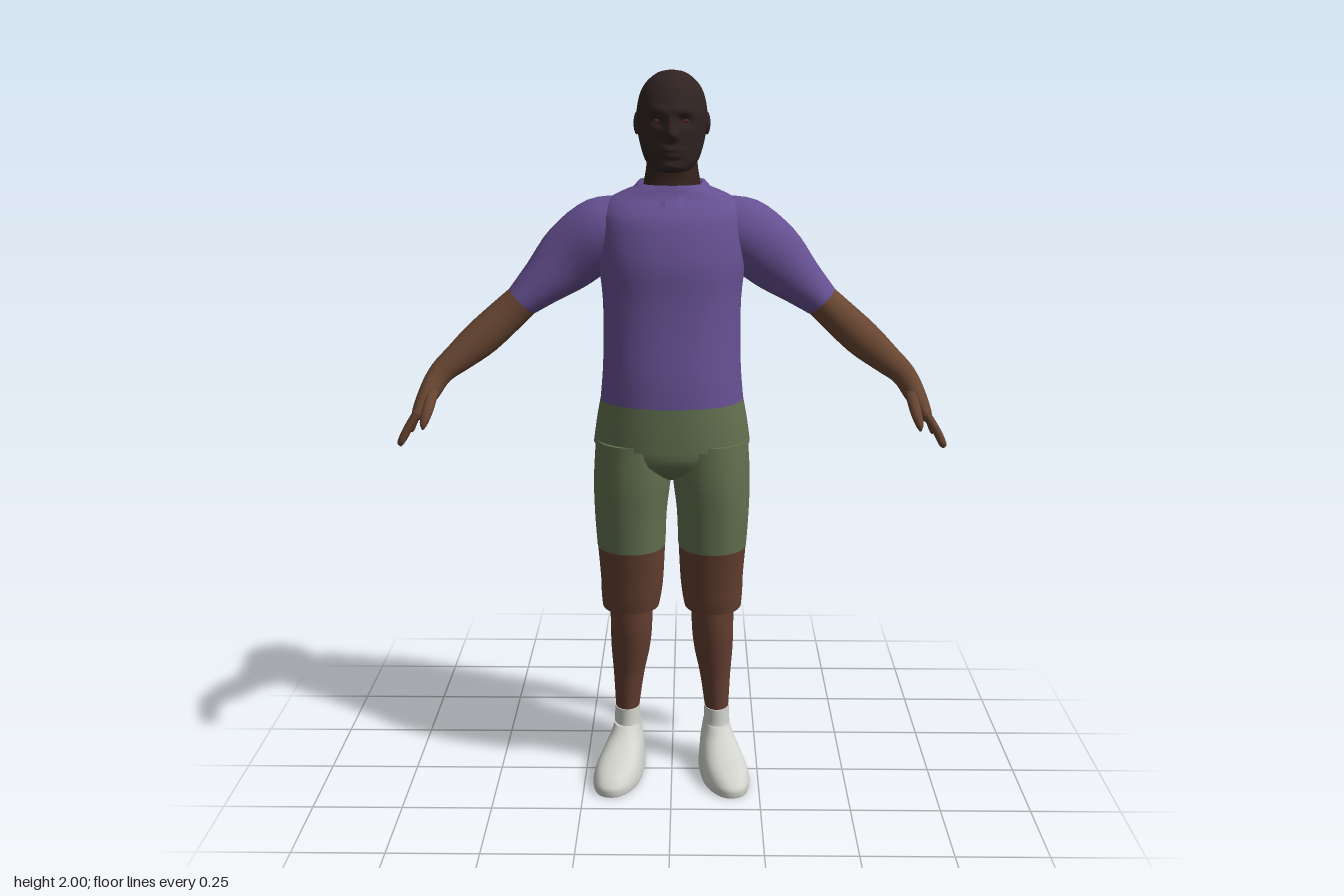
import * as THREE from 'three';

const mat = (name, color, side = THREE.FrontSide) => {
  const m = new THREE.MeshStandardMaterial({ color, side });
  m.name = name;
  return m;
};

// Smooth value between p1 and p2
const spline = (p0, p1, p2, p3, t) => 0.5 * (2 * p1 + (p2 - p0) * t
  + (2 * p0 - 5 * p1 + 4 * p2 - p3) * t * t + (3 * p1 - p0 - 3 * p2 + p3) * t * t * t);

// Closed skin through rings [x, y, z, halfWidth, halfDepth, tilt in degrees];
// tilt 0 runs downwards, tilt 90 runs towards +x
function loft(keys, { seg = 28, sub = 4, power = 2, deform } = {}) {
  const rings = [];
  const last = keys.length - 1;
  const at = (i, k) => keys[Math.min(last, Math.max(0, i))][k] ?? 0;
  for (let i = 0; i < last; i++) {
    for (let s = 0; s < sub; s++) {
      rings.push([0, 1, 2, 3, 4, 5].map(k => spline(at(i - 1, k), at(i, k), at(i + 1, k), at(i + 2, k), s / sub)));
    }
  }
  rings.push([0, 1, 2, 3, 4, 5].map(k => at(last, k)));

  const pos = [], index = [];
  const addRing = ([x, y, z, ra, rb, tilt]) => {
    const t = THREE.MathUtils.degToRad(tilt);
    for (let j = 0; j < seg; j++) {
      const a = (j / seg) * Math.PI * 2, c = Math.cos(a), s = Math.sin(a);
      const u = Math.sign(c) * Math.abs(c) ** (2 / power) * ra;
      const w = Math.sign(s) * Math.abs(s) ** (2 / power) * rb;
      const v = new THREE.Vector3(x + u * Math.cos(t), y + u * Math.sin(t), z + w);
      if (deform) deform(v);
      pos.push(v.x, v.y, v.z);
    }
  };
  rings.forEach(addRing);
  for (let i = 0; i < rings.length - 1; i++) {
    for (let j = 0; j < seg; j++) {
      const a = i * seg + j, b = i * seg + (j + 1) % seg;
      index.push(a, b, a + seg, b, b + seg, a + seg);
    }
  }
  // Flat end caps with their own vertices
  [[rings[0], false], [rings[rings.length - 1], true]].forEach(([ring, end]) => {
    const base = pos.length / 3;
    addRing(ring);
    pos.push(ring[0], ring[1], ring[2]);
    for (let j = 0; j < seg; j++) {
      const a = base + j, b = base + (j + 1) % seg;
      index.push(base + seg, end ? a : b, end ? b : a);
    }
  });
  const geo = new THREE.BufferGeometry();
  geo.setAttribute('position', new THREE.Float32BufferAttribute(pos, 3));
  geo.setIndex(index);
  geo.computeVertexNormals();
  return geo;
}

// Copy reflected across x = 0 with corners reordered
function mirrored(geo) {
  const g = geo.clone();
  g.scale(-1, 1, 1);
  const idx = g.index.array;
  for (let i = 0; i < idx.length; i += 3) [idx[i], idx[i + 1]] = [idx[i + 1], idx[i]];
  g.computeVertexNormals();
  return g;
}

const bump = (dx, dy, sx, sy) => Math.exp(-((dx / sx) ** 2) - ((dy / sy) ** 2));

// Eye sockets, brow, nose, lips and chin on the front of the head
function sculptFace(v) {
  if (v.z < 0.03) return;
  const ax = Math.abs(v.x);
  v.z += -0.012 * bump(ax - 0.036, v.y - 1.872, 0.018, 0.014)
    + 0.006 * bump(ax - 0.03, v.y - 1.9, 0.03, 0.012)
    + 0.027 * bump(v.x, v.y - 1.838, 0.015, 0.014)
    + 0.013 * bump(v.x, v.y - 1.862, 0.011, 0.02)
    + 0.011 * bump(v.x, v.y - 1.8, 0.027, 0.008)
    + 0.01 * bump(v.x, v.y - 1.784, 0.024, 0.007)
    + 0.008 * bump(v.x, v.y - 1.756, 0.025, 0.012);
}

// Shirt collar: a folded band round the neck, open and pointed at the front
function collarGeometry() {
  const n = 40, pos = [], index = [];
  for (let i = 0; i <= n; i++) {
    const a = THREE.MathUtils.lerp(0.16, Math.PI * 2 - 0.16, i / n);
    const s = Math.sin(a), c = Math.cos(a);
    const front = Math.max(0, c) ** 2;
    const tip = bump(Math.min(a, Math.PI * 2 - a) - 0.55, 0, 0.35, 1);
    pos.push(0.08 * s, 1.7 - 0.035 * front, -0.045 + 0.065 * c);
    pos.push(0.088 * s, 1.712 - 0.036 * front, -0.045 + 0.074 * c);
    pos.push(0.112 * s, 1.685 - 0.03 * front - 0.022 * tip, -0.045 + (0.086 + 0.02 * front) * c);
  }
  for (let i = 0; i < n; i++) {
    for (let k = 0; k < 2; k++) {
      const a = i * 3 + k;
      index.push(a, a + 1, a + 3, a + 1, a + 4, a + 3);
    }
  }
  const g = new THREE.BufferGeometry();
  g.setAttribute('position', new THREE.Float32BufferAttribute(pos, 3));
  g.setIndex(index);
  g.computeVertexNormals();
  return g;
}

export function createModel() {
  const model = new THREE.Group();
  model.name = 'standingMan';
  const headSkin = mat('head skin', 0x302322);
  const neckSkin = mat('neck skin', 0x35231d);
  const armSkin = mat('arm skin', 0x684632);
  const legBrown = mat('leg brown', 0x643f31);
  const shirt = mat('purple shirt', 0x665092, THREE.DoubleSide);
  const green = mat('green shorts', 0x62704f);
  const white = mat('white shoes', 0xd2d3cc);
  const eyeBrown = mat('eye brown', 0x5a2c1c);

  const add = (name, geo, material) => {
    const m = new THREE.Mesh(geo, material);
    m.name = name;
    model.add(m);
  };
  const pair = (name, geo, material) => {
    add('left' + name, geo, material);
    add('right' + name, mirrored(geo), material);
  };

  // Head and neck
  add('head', loft([
    [0, 2.0, -0.01, 0.004, 0.004], [0, 1.993, -0.01, 0.036, 0.046], [0, 1.97, -0.012, 0.066, 0.083],
    [0, 1.94, -0.014, 0.084, 0.107], [0, 1.9, -0.013, 0.093, 0.121], [0, 1.87, -0.012, 0.094, 0.121],
    [0, 1.83, -0.007, 0.089, 0.112], [0, 1.79, 0.002, 0.079, 0.1], [0, 1.765, 0.017, 0.068, 0.082],
    [0, 1.745, 0.036, 0.048, 0.056], [0, 1.737, 0.04, 0.02, 0.025],
  ], { seg: 64, sub: 6, power: 2.1, deform: sculptFace }), headSkin);
  add('neck', loft([
    [0, 1.82, -0.04, 0.066, 0.06], [0, 1.75, -0.043, 0.069, 0.059], [0, 1.7, -0.045, 0.077, 0.062],
    [0, 1.65, -0.035, 0.08, 0.075],
  ]), neckSkin);
  const ear = new THREE.SphereGeometry(1, 14, 10);
  ear.scale(0.009, 0.03, 0.018);
  ear.rotateX(-0.15);
  ear.translate(0.093, 1.862, -0.018);
  pair('Ear', ear, headSkin);
  const eye = new THREE.SphereGeometry(1, 12, 8);
  eye.scale(0.011, 0.005, 0.006);
  eye.translate(0.036, 1.873, 0.088);
  pair('Eye', eye, eyeBrown);

  // Shirt
  add('shirtBody', loft([
    [0, 1.7, -0.045, 0.082, 0.064], [0, 1.688, -0.05, 0.118, 0.074], [0, 1.665, -0.054, 0.165, 0.09],
    [0, 1.64, -0.048, 0.188, 0.11], [0, 1.6, -0.04, 0.198, 0.13], [0, 1.5, -0.028, 0.199, 0.147],
    [0, 1.4, -0.016, 0.189, 0.14], [0, 1.3, -0.008, 0.187, 0.143], [0, 1.2, -0.007, 0.19, 0.157],
    [0, 1.12, -0.011, 0.197, 0.167],
  ], { seg: 48, power: 2.25 }), shirt);
  add('collar', collarGeometry(), shirt);
  pair('Sleeve', loft([
    [0.11, 1.585, -0.06, 0.085, 0.085, 80], [0.2, 1.56, -0.06, 0.1, 0.095, 72],
    [0.285, 1.498, -0.057, 0.092, 0.077, 60], [0.355, 1.433, -0.048, 0.066, 0.067, 52],
    [0.41, 1.383, -0.042, 0.049, 0.062, 45],
  ], { seg: 32 }), shirt);

  // Arms and hands
  pair('Arm', loft([
    [0.37, 1.42, -0.045, 0.045, 0.055, 45], [0.43, 1.365, -0.04, 0.049, 0.054, 45],
    [0.52, 1.285, -0.016, 0.051, 0.052, 46], [0.585, 1.232, 0.012, 0.041, 0.042, 46],
    [0.63, 1.195, 0.035, 0.033, 0.035, 42], [0.658, 1.15, 0.06, 0.029, 0.044, 32],
    [0.685, 1.098, 0.086, 0.019, 0.047, 27], [0.69, 1.085, 0.089, 0.012, 0.04, 27],
  ]), armSkin);
  [[0.05, 0.715, 1.03, 0.046], [0.074, 0.732, 1.01, 0.072], [0.099, 0.737, 1.004, 0.1], [0.123, 0.728, 1.015, 0.13]]
    .forEach(([z, tx, ty, tz], i) => {
      const mx = (0.686 + tx) / 2 + 0.006, my = (1.1 + ty) / 2;
      pair('Finger' + (i + 1), loft([
        [0.683, 1.105, z, 0.012, 0.012, 27], [mx, my, (z + tz) / 2, 0.011, 0.011, 25],
        [tx, ty + 0.01, tz, 0.009, 0.009, 15], [tx, ty, tz, 0.002, 0.002, 15],
      ], { seg: 10, sub: 3 }), armSkin);
    });
  pair('Thumb', loft([
    [0.645, 1.16, 0.08, 0.016, 0.018, 15], [0.654, 1.115, 0.122, 0.015, 0.017, 12],
    [0.664, 1.08, 0.143, 0.011, 0.012, 10], [0.667, 1.062, 0.148, 0.002, 0.002, 10],
  ], { seg: 12, sub: 3 }), armSkin);

  // Green hem band and shorts
  add('hemBand', loft([
    [0, 1.12, -0.011, 0.197, 0.167], [0, 1.06, -0.013, 0.208, 0.17], [0, 0.997, -0.015, 0.217, 0.171],
  ], { seg: 48, power: 2.25 }), green);
  add('shortsSeat', loft([
    [0, 1.02, -0.012, 0.207, 0.158], [0, 0.96, -0.011, 0.205, 0.15], [0, 0.92, -0.012, 0.17, 0.11],
    [0, 0.895, -0.015, 0.1, 0.06],
  ], { seg: 48, power: 2.2 }), green);
  pair('ShortsLeg', loft([
    [0.106, 1.01, -0.01, 0.105, 0.152], [0.11, 0.9, -0.009, 0.108, 0.151],
    [0.115, 0.8, 0.001, 0.101, 0.131], [0.114, 0.7, -0.004, 0.096, 0.125],
  ], { seg: 36, power: 2.2 }), green);
  pair('ShortsCuff', loft([
    [0.114, 0.7, -0.004, 0.095, 0.124], [0.113, 0.6, -0.014, 0.089, 0.114],
    [0.115, 0.55, -0.018, 0.086, 0.109], [0.117, 0.512, -0.021, 0.081, 0.103],
  ], { seg: 36, power: 2.2 }), legBrown);

  // Lower legs, socks and shoes
  pair('LowerLeg', loft([
    [0.118, 0.56, -0.03, 0.061, 0.08], [0.117, 0.45, -0.035, 0.06, 0.076],
    [0.12, 0.37, -0.043, 0.056, 0.068], [0.126, 0.28, -0.051, 0.044, 0.056],
    [0.131, 0.175, -0.055, 0.034, 0.045],
  ]), legBrown);
  pair('Sock', loft([
    [0.131, 0.182, -0.053, 0.036, 0.048], [0.131, 0.13, -0.053, 0.038, 0.05], [0.131, 0.08, -0.045, 0.04, 0.055],
  ]), white);
  const shoe = loft([
    [0, 0.132, 0.002, 0.041, 0.057], [0, 0.105, 0.014, 0.048, 0.074], [0, 0.08, 0.038, 0.056, 0.102],
    [0, 0.052, 0.073, 0.063, 0.14], [0, 0.028, 0.087, 0.067, 0.157], [0, 0.01, 0.088, 0.068, 0.159],
    [0, 0, 0.088, 0.066, 0.157],
  ], { seg: 40, power: 2.25, deform: v => { v.x *= 0.88 + 0.9 * Math.max(0, Math.min(0.15, v.z)); } });
  shoe.rotateY(0.2);
  shoe.translate(0.13, 0, -0.055);
  pair('Shoe', shoe, white);

  return model;
}
